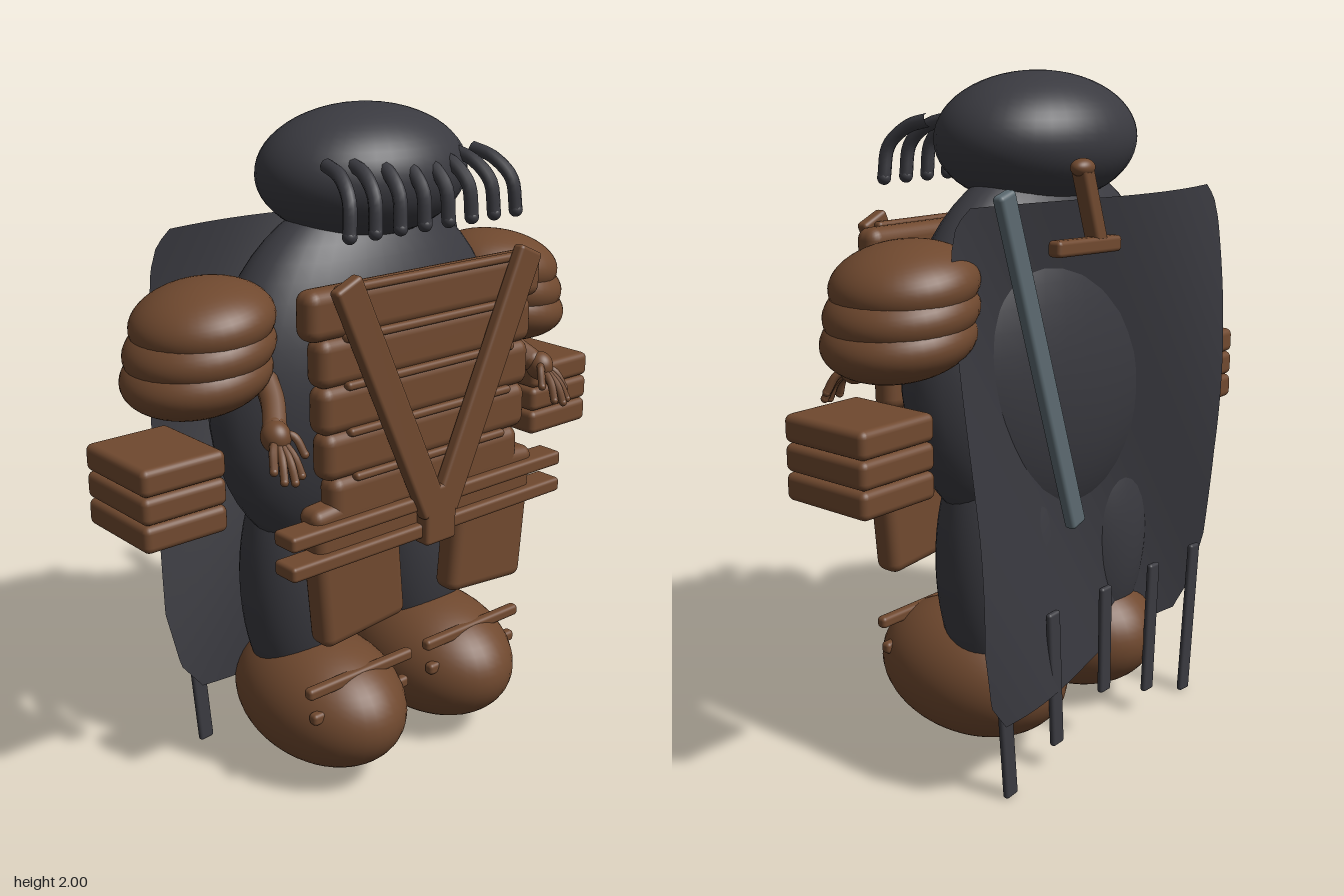
import * as THREE from 'three';
import { RoundedBoxGeometry } from 'three/addons/geometries/RoundedBoxGeometry.js';

const mat = (name, color, side = THREE.FrontSide) => {
  const m = new THREE.MeshStandardMaterial({ color, side });
  m.name = name;
  return m;
};

export function createModel() {
  const cloth = mat('dark cloth', 0x3a3a40);
  const capeCloth = mat('cape cloth', 0x38383e, THREE.DoubleSide);
  const leather = mat('brown leather', 0x70492f);
  const steel = mat('blue steel', 0x5c6a71);
  const root = new THREE.Group();
  root.name = 'armouredFigure';

  const add = (name, geo, material, pos = [0, 0, 0], rot = [0, 0, 0]) => {
    const m = new THREE.Mesh(geo, material);
    m.name = name;
    m.position.set(...pos);
    m.rotation.set(...rot);
    root.add(m);
    return m;
  };
  const ball = (name, material, pos, radii, rot) =>
    add(name, new THREE.SphereGeometry(1, 40, 28), material, pos, rot).scale.set(...radii);
  const box = (name, material, pos, size, rot, r = 0.012) =>
    add(name, new RoundedBoxGeometry(...size, 3, Math.min(r, Math.min(...size) * 0.45)), material, pos, rot);
  // Flat bar running between two points of an upright plane
  const bar = (name, material, [x1, y1], [x2, y2], z, width, depth) =>
    box(name, material, [(x1 + x2) / 2, (y1 + y2) / 2, z],
      [width, Math.hypot(x2 - x1, y2 - y1), depth], [0, 0, Math.atan2(x1 - x2, y2 - y1) + Math.PI]);
  // Round strand with a ball at its tip
  const strand = (name, material, pts, r) => {
    const v = pts.map(p => new THREE.Vector3(...p));
    add(name, new THREE.TubeGeometry(new THREE.CatmullRomCurve3(v), 14, r, 8), material);
    ball(name + 'Tip', material, pts[pts.length - 1], [r, r, r]);
  };

  // Head, fringe and torso
  ball('head', cloth, [0, 1.81, -0.025], [0.33, 0.19, 0.265]);
  for (let i = 0; i < 8; i++) {
    const x = -0.295 + i * 0.086;
    strand('fringe', cloth, [[x * 0.9, 1.865, 0.14], [x * 0.94, 1.845, 0.21],
      [x, 1.79, 0.268], [x * 1.03, 1.7, 0.28]], 0.02);
  }
  ball('torso', cloth, [0, 1.19, -0.035], [0.53, 0.57, 0.245]);

  // Breastplate slats with a thin rod along the top of each
  [0.44, 0.405, 0.4, 0.39, 0.365, 0.4].forEach((half, i) => {
    const y = 1.5 - i * 0.133;
    box('chestSlat', leather, [0, y, 0.243], [half * 2, 0.14, 0.085], [0, 0, 0], 0.035);
    box('chestRod', leather, [0, y + 0.065, 0.28], [half * 1.6, 0.025, 0.03]);
  });

  // Belts and buckle
  for (const y of [0.9, 0.812])
    box('belt', leather, [0, y, 0.265], [1.06, 0.045, 0.09]);
  box('buckle', leather, [0, 0.86, 0.3], [0.118, 0.18, 0.06]);

  // Mirrored parts
  for (const s of [-1, 1]) {
    bar('chestStrap', leather, [s * 0.345, 1.59], [s * 0.02, 0.87], 0.31, 0.095, 0.04);
    box('thighPlate', leather, [s * 0.262, 0.755, 0.24], [0.305, 0.43, 0.09], [0, 0, -s * 0.09], 0.03);

    // Layered shoulder guard
    [[0.56, 1.46, 0.2, 0.205], [0.572, 1.39, 0.212, 0.21], [0.585, 1.32, 0.212, 0.21]].forEach(([x, y, rx, rz]) =>
      ball('shoulderGuard', leather, [s * x, y, -0.035], [rx, 0.11, rz], [0, 0, -s * 0.16]));

    // Arm, hand and fingers
    strand('forearm', leather, [[s * 0.44, 1.3, 0.08], [s * 0.46, 1.25, 0.14], [s * 0.5, 1.2, 0.2]], 0.035);
    ball('palm', leather, [s * 0.512, 1.185, 0.22], [0.04, 0.045, 0.045]);
    [[0.565, 1.115, 0.28], [0.55, 1.09, 0.305], [0.522, 1.085, 0.315], [0.493, 1.095, 0.305], [0.462, 1.14, 0.28]]
      .forEach(([x, y, z]) => strand('finger', leather, [[s * 0.512, 1.19, 0.22],
        [s * (x * 0.65 + 0.18), y + 0.05, z - 0.025], [s * x, y, z]], 0.012));

    // Stacked side pouch
    for (let i = 0; i < 3; i++)
      box('pouchSlab', leather, [s * 0.732, 0.944 + i * 0.079, -0.03], [0.264, 0.078, 0.3], [0, 0, 0], 0.02);

    // Leg, boot and boot straps
    ball('leg', cloth, [s * 0.23, 0.6, -0.06], [0.185, 0.42, 0.173]);
    ball('boot', leather, [s * 0.23, 0.235, 0.035], [0.22, 0.205, 0.325]);
    box('bootStrap', leather, [s * 0.23, 0.38, 0.23], [0.4, 0.036, 0.034]);
    box('bootStrap', leather, [s * 0.23, 0.292, 0.23], [0.37, 0.036, 0.034]);
  }

  // Cape: a sheet with a diagonal wave, its outline set by height
  const outline = [[0.25, 0.5], [0.33, 0.56], [0.5, 0.585], [0.8, 0.565], [1.2, 0.555], [1.55, 0.55], [1.62, 0.53], [1.66, 0.48]];
  const halfWidth = y => {
    let i = 0;
    while (i < outline.length - 2 && y > outline[i + 1][0]) i++;
    const [y0, w0] = outline[i], [y1, w1] = outline[i + 1];
    return THREE.MathUtils.lerp(w0, w1, THREE.MathUtils.clamp((y - y0) / (y1 - y0), 0, 1));
  };
  const capeZ = (x, y) => -0.262 + 0.068 * Math.cos(3.9 * (x - 0.57 + (1.65 - y) * 0.65));
  const cape = new THREE.PlaneGeometry(2, 1, 40, 56);
  const p = cape.attributes.position;
  for (let i = 0; i < p.count; i++) {
    const y = 0.25 + (p.getY(i) + 0.5) * 1.41;
    const x = p.getX(i) * halfWidth(y);
    p.setXYZ(i, x, y, capeZ(x, y));
  }
  cape.computeVertexNormals();
  add('cape', cape, capeCloth);

  // Hanging strips on the cape hem
  for (const x of [-0.46, -0.24, 0, 0.24, 0.46])
    bar('capeStrip', cloth, [x * 1.045, 0.5], [x * 0.955, 0.16 - Math.abs(x) * 0.345], -0.293, 0.05, 0.02);

  // Slung blade and a second hilt on the back
  bar('blade', steel, [0.505, 1.71], [0.2, 0.76], -0.333, 0.062, 0.036);
  bar('hilt', leather, [0.165, 1.76], [0.085, 1.52], -0.315, 0.05, 0.05);
  bar('crossguard', leather, [0.01, 1.535], [0.29, 1.545], -0.32, 0.045, 0.045);
  ball('pommel', leather, [0.16, 1.75, -0.315], [0.04, 0.025, 0.03]);

  return root;
}
